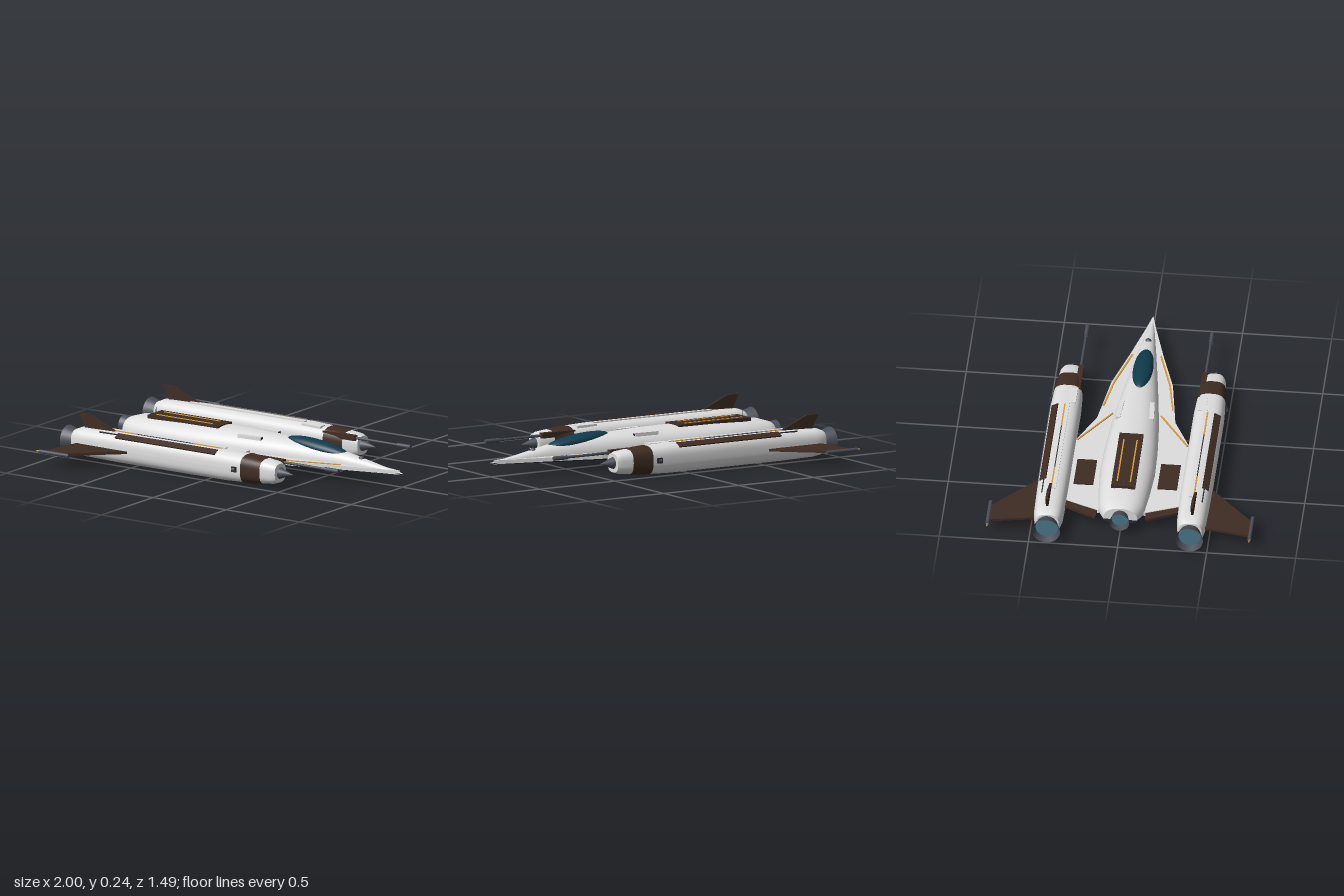
import * as THREE from 'three';

const material = (name, color, side = THREE.FrontSide) => {
  const m = new THREE.MeshStandardMaterial({ color, side });
  m.name = name;
  return m;
};

// Skin stretched over superellipse sections [x, halfWidth, halfHeight], for angles a0..a1
function loft(sections, power, a0, a1, steps = 40) {
  const pos = [], idx = [];
  const bend = (v) => Math.sign(v) * Math.pow(Math.abs(v), 2 / power);
  const ring = ([x, w, h]) => {
    const start = pos.length / 3;
    for (let j = 0; j <= steps; j++) {
      const a = a0 + ((a1 - a0) * j) / steps;
      pos.push(x, bend(Math.sin(a)) * h, bend(Math.cos(a)) * w);
    }
    return start;
  };
  const rings = sections.map(ring);
  for (let i = 0; i < rings.length - 1; i++) {
    for (let j = 0; j < steps; j++) {
      const a = rings[i] + j, b = rings[i + 1] + j;
      idx.push(a, b, a + 1, a + 1, b, b + 1);
    }
  }
  // End caps with their own rings, so the rims stay sharp
  [sections[0], sections[sections.length - 1]].forEach((s, end) => {
    const r = ring(s), c = pos.length / 3;
    pos.push(s[0], 0, 0);
    for (let j = 0; j < steps; j++) {
      if (end) idx.push(c, r + j + 1, r + j);
      else idx.push(c, r + j, r + j + 1);
    }
  });
  const g = new THREE.BufferGeometry();
  g.setAttribute('position', new THREE.Float32BufferAttribute(pos, 3));
  g.setIndex(idx);
  g.computeVertexNormals();
  return g;
}

export function createModel() {
  const white = material('hull white', 0xdedede);
  const brown = material('panel brown', 0x3e2c22);
  const dark = material('belly charcoal', 0x2c2e36);
  const grey = material('metal grey', 0x4a4d58, THREE.DoubleSide);
  const gold = material('trim gold', 0xd79c30);
  const glass = material('canopy teal', 0x0f3c4d);
  const glow = material('engine blue', 0x4a7688);

  const model = new THREE.Group();
  model.name = 'starfighter';
  const add = (name, geo, mat, x = 0, y = 0, z = 0) => {
    const m = new THREE.Mesh(geo, mat);
    m.name = name;
    m.position.set(x, y, z);
    model.add(m);
    return m;
  };
  // Box between x0 and x1
  const bar = (name, mat, x0, x1, y, z, h, w) =>
    add(name, new THREE.BoxGeometry(x1 - x0, h, w), mat, (x0 + x1) / 2, y, z);
  // Round part along x, from x0 (radius r0) to x1 (radius r1)
  const rod = (name, mat, x0, x1, r0, r1, y, z, open = false) =>
    add(name, new THREE.CylinderGeometry(r1, r0, x1 - x0, 24, 1, open).rotateZ(-Math.PI / 2),
      mat, (x0 + x1) / 2, y, z);
  // Flat plate from [x, z] corners
  const plate = (name, mat, pts, y, t) => {
    const shape = new THREE.Shape(pts.map(([x, z]) => new THREE.Vector2(x, -z)));
    const geo = new THREE.ExtrudeGeometry(shape, { depth: t, bevelEnabled: false });
    return add(name, geo.rotateX(-Math.PI / 2), mat, 0, y, 0);
  };
  // Thin stripe between two [x, z] points
  const stripe = (name, a, b, y) => {
    const dx = b[0] - a[0], dz = b[1] - a[1];
    const m = add(name, new THREE.BoxGeometry(Math.hypot(dx, dz), 0.006, 0.009), gold,
      (a[0] + b[0]) / 2, y, (a[1] + b[1]) / 2);
    m.rotation.y = -Math.atan2(dz, dx);
  };

  // Fuselage: white upper hull and charcoal belly meeting at one waterline
  const waterline = 0.08;
  const hull = [ // x, half width, height above, depth below
    [-0.845, 0.095, 0.075, 0.025], [-0.78, 0.13, 0.095, 0.038], [-0.62, 0.145, 0.105, 0.046],
    [-0.45, 0.155, 0.11, 0.05], [-0.25, 0.15, 0.112, 0.05], [0, 0.133, 0.112, 0.049],
    [0.25, 0.104, 0.104, 0.043], [0.45, 0.079, 0.089, 0.034], [0.62, 0.056, 0.071, 0.026],
    [0.85, 0.024, 0.029, 0.015], [1, 0.002, 0.004, 0.003]];
  add('upperHull', loft(hull.map(([x, w, u]) => [x, w, u]), 2.4, 0, Math.PI), white, 0, waterline);
  add('belly', loft(hull.map(([x, w, , d]) => [x, w, d]), 2.4, Math.PI, 2 * Math.PI), dark, 0, waterline);

  // Main wing with long leading-edge extensions
  const half = [[-0.79, 0.13], [-0.71, 0.33], [-0.19, 0.33], [0.04, 0.22], [0.37, 0.173],
    [0.63, 0.095], [0.88, 0.027], [0.98, 0.003]];
  plate('wing', white, [...half, ...half.map(([x, z]) => [x, -z]).reverse()], 0.073, 0.022);

  // Canopy, nose sensor and antenna
  const canopy = add('canopy', new THREE.SphereGeometry(1, 40, 24), glass, 0.425, 0.158, 0);
  canopy.scale.set(0.205, 0.037, 0.056);
  canopy.rotation.z = -0.11;
  add('noseSensor', new THREE.SphereGeometry(0.018, 16, 10), grey, 0.72, 0.126, 0);
  add('antenna', new THREE.CylinderGeometry(0.002, 0.003, 0.05, 8), grey, -0.68, 0.205, 0);

  // Dorsal panel
  bar('dorsalPanel', brown, -0.69, -0.21, 0.187, 0, 0.02, 0.135);

  // Tail nozzle
  rod('tailNozzle', grey, -0.9, -0.84, 0.056, 0.042, 0.1, 0, true);
  rod('tailGlow', glow, -0.868, -0.862, 0.046, 0.046, 0.1, 0);

  const cy = 0.088, cz = 0.401;
  const pod = (name, mat, sections, z) =>
    add(name, loft(sections.map(([x, r]) => [x, r, r * 0.98]), 2.8, 0, 2 * Math.PI, 48), mat, 0, cy, z);

  for (const s of [1, -1]) {
    const side = s > 0 ? 'left' : 'right';
    const n = (part) => side + part;
    const mirror = (pts) => pts.map(([x, z]) => [x, s * z]);
    const z = s * cz;

    // Fuselage and wing trim
    bar(n('DorsalStripe'), gold, -0.65, -0.27, 0.197, s * 0.037, 0.006, 0.008);
    bar(n('WingPanel'), brown, -0.57, -0.35, 0.098, s * 0.235, 0.01, 0.11);
    plate(n('Elevon'), brown, mirror([[-0.85, 0.14], [-0.79, 0.135], [-0.715, 0.32], [-0.765, 0.32]]), 0.076, 0.016);
    stripe(n('RootStripe'), [-0.17, s * 0.31], [0.09, s * 0.135], 0.097);
    stripe(n('EdgeStripeRear'), [0.15, s * 0.195], [0.37, s * 0.157], 0.097);
    stripe(n('EdgeStripeFront'), [0.37, s * 0.157], [0.63, s * 0.08], 0.097);
    const vent = bar(n('Vent'), white, -0.05, 0.1, 0.173, s * 0.09, 0.02, 0.026);
    vent.rotation.y = s * 0.06;
    bar(n('VentMouth'), dark, 0.097, 0.102, 0.173, s * 0.085, 0.012, 0.018);

    // Engine pod
    pod(n('Pod'), white, [[-0.935, 0.064], [-0.91, 0.075], [-0.86, 0.082], [-0.65, 0.086],
      [0.1, 0.086], [0.23, 0.081]], z);
    pod(n('PodCollar'), brown, [[0.23, 0.082], [0.3, 0.078], [0.355, 0.072]], z);
    pod(n('PodNose'), white, [[0.355, 0.071], [0.42, 0.064], [0.448, 0.054]], z);
    rod(n('IntakeSpike'), grey, 0.445, 0.535, 0.034, 0.001, cy, z);
    rod(n('Nozzle'), grey, -1, -0.93, 0.079, 0.056, cy - 0.003, z, true);
    rod(n('NozzleGlow'), glow, -0.962, -0.956, 0.063, 0.063, cy - 0.003, z);

    // Pod panels, rails and side port
    const strip = bar(n('PodStrip'), brown, -0.63, 0.05, 0.16, s * 0.455, 0.012, 0.04);
    strip.rotation.x = s * 0.5;
    bar(n('PodGroove'), dark, -0.75, -0.63, 0.166, s * 0.45, 0.008, 0.006);
    bar(n('PodRail'), white, -0.72, 0.07, 0.17, s * 0.385, 0.016, 0.022);
    bar(n('RailStripeRear'), gold, -0.72, -0.53, 0.172, s * 0.4, 0.008, 0.008);
    bar(n('RailStripeFront'), gold, -0.15, 0.05, 0.172, s * 0.4, 0.008, 0.008);
    bar(n('RailGroove'), dark, -0.53, -0.15, 0.171, s * 0.4, 0.008, 0.005);
    bar(n('PodHatch'), white, 0.07, 0.2, 0.165, s * 0.365, 0.014, 0.045);
    bar(n('SidePort'), dark, 0.175, 0.207, cy + 0.002, s * 0.487, 0.03, 0.012);
    rod(n('PortLens'), grey, 0.182, 0.2, 0.009, 0.009, cy + 0.002, s * 0.491);

    // Cannon in its fairing
    bar(n('CannonFairing'), brown, 0.22, 0.44, 0.138, s * 0.347, 0.03, 0.03);
    rod(n('CannonBarrel'), grey, 0.43, 0.74, 0.008, 0.007, 0.138, s * 0.35);
    rod(n('CannonMuzzle'), grey, 0.72, 0.81, 0.012, 0.012, 0.138, s * 0.35);

    // Side fin with tip rod
    plate(n('SideFin'), brown, mirror([[-0.885, 0.47], [-0.52, 0.47], [-0.8, 0.73], [-0.93, 0.73]]), 0.076, 0.014);
    rod(n('FinTip'), grey, -0.96, -0.76, 0.011, 0.011, 0.083, s * 0.735);
    rod(n('FinTipLight'), gold, -0.98, -0.96, 0.004, 0.004, 0.083, s * 0.735);

    // Upright fin
    const fin = new THREE.Shape([[-0.87, 0.16], [-0.66, 0.16], [-0.68, 0.178], [-0.84, 0.245], [-0.915, 0.245]]
      .map(([x, y]) => new THREE.Vector2(x, y)));
    add(n('UprightFin'), new THREE.ExtrudeGeometry(fin, { depth: 0.014, bevelEnabled: false }),
      brown, 0, 0, s * 0.407 - 0.007);
  }
  return model;
}
